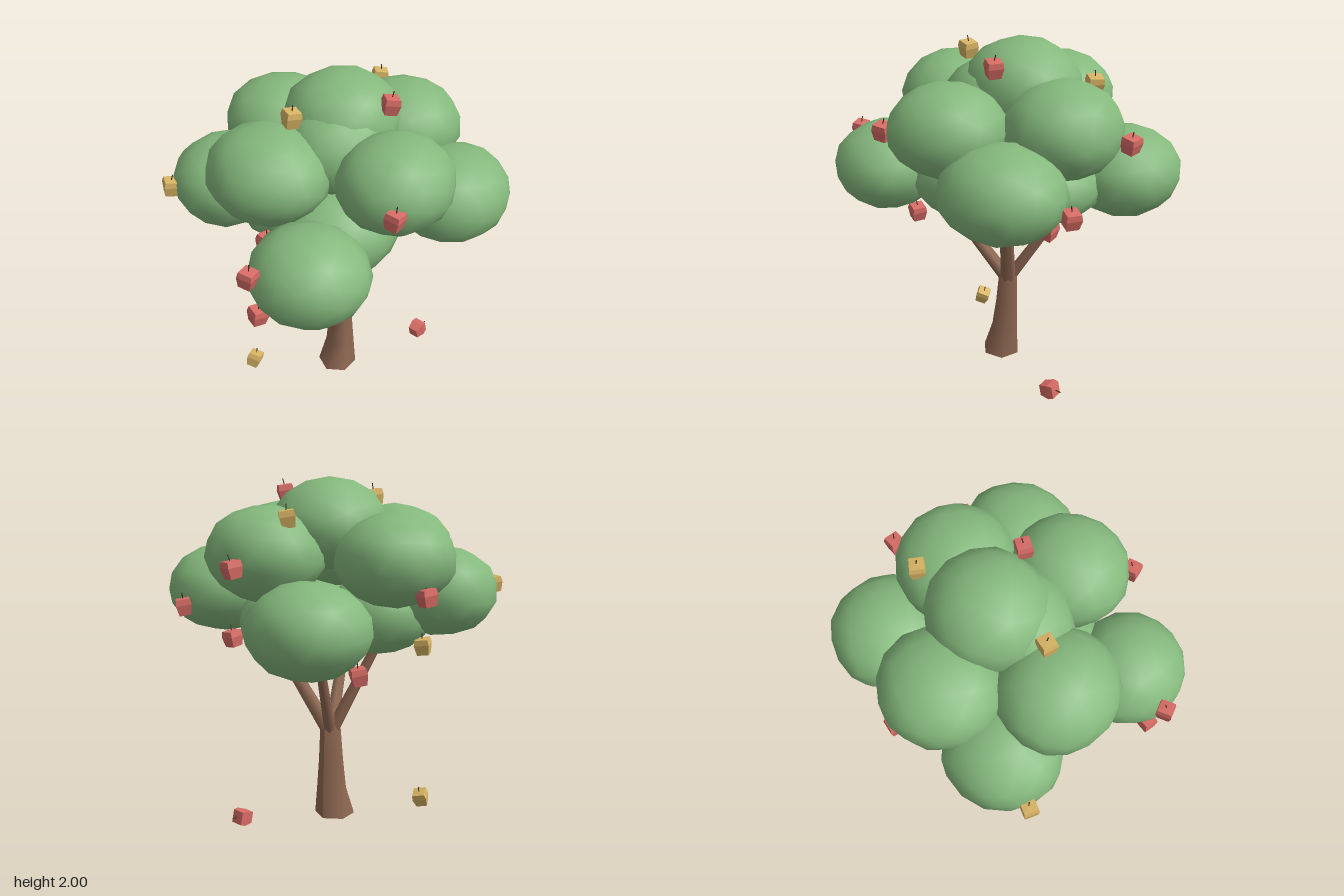
import * as THREE from 'three';
import { mergeVertices } from 'three/addons/utils/BufferGeometryUtils.js';

const mat = (name, color) => new THREE.MeshStandardMaterial({ name, color });

export function createModel() {
  const tree = new THREE.Group();
  tree.name = 'appleTree';
  const bark = mat('bark brown', 0x8f6852);
  const leaf = mat('leaf green', 0x85b97d);
  const red = mat('apple red', 0xd86c66);
  const yellow = mat('apple yellow', 0xd8b464);
  const stemBrown = mat('stem brown', 0x43302a);

  let seed = 7;
  const rand = () => (seed = (seed * 16807) % 2147483647) / 2147483647;
  const add = (parent, name, geo, material) => {
    const mesh = new THREE.Mesh(geo, material);
    mesh.name = name;
    parent.add(mesh);
    return mesh;
  };

  // Trunk: six-sided rings (height, centre x, centre z, radius), flared to one side at the root
  const rings = [[0, -0.008, -0.008, 0.118], [0.17, 0.018, -0.004, 0.087],
    [0.35, 0.029, -0.008, 0.072], [0.54, 0.037, -0.01, 0.061], [0.65, 0.03, -0.005, 0.036]];
  const trunk = new THREE.CylinderGeometry(1, 1, 1, 6, rings.length - 1);
  trunk.rotateY(Math.PI / 2);
  const tp = trunk.attributes.position;
  for (let i = 0; i < tp.count; i++) {
    const k = Math.round((tp.getY(i) + 0.5) * (rings.length - 1));
    const [y, cx, cz, r] = rings[k];
    tp.setXYZ(i, cx + tp.getX(i) * r, y, cz + tp.getZ(i) * r);
  }
  trunk.computeVertexNormals();
  add(tree, 'trunk', trunk, bark);

  // Branches reach from the fork into the four lower leaf clumps
  const up = new THREE.Vector3(0, 1, 0);
  const branch = (x, y, z, r) => {
    const a = new THREE.Vector3(0.035 + x * 0.05, 0.55, -0.01 + z * 0.05);
    const d = new THREE.Vector3(x, y, z).sub(a);
    const m = add(tree, 'branch', new THREE.CylinderGeometry(r * 0.62, r, d.length(), 6), bark);
    m.position.copy(a).addScaledVector(d, 0.5);
    m.quaternion.setFromUnitVectors(up, d.normalize());
  };
  branch(-0.42, 1.2, 0.16, 0.042);
  branch(0.22, 1.2, 0.35, 0.045);
  branch(0.44, 1.2, -0.2, 0.036);
  branch(-0.16, 1.2, -0.29, 0.042);

  // Leaf clumps: centre, then half sizes
  const clumps = [
    [-0.6, 1.25, 0.25, 0.31, 0.25, 0.32], [0.3, 1.375, 0.55, 0.34, 0.25, 0.31],
    [0.62, 1.26, -0.29, 0.32, 0.25, 0.33], [-0.3, 1.37, -0.54, 0.32, 0.25, 0.31],
    [-0.09, 1.6, 0.42, 0.32, 0.25, 0.31], [0.43, 1.6, 0.13, 0.32, 0.26, 0.33],
    [0.11, 1.58, -0.48, 0.33, 0.25, 0.32], [-0.39, 1.59, -0.17, 0.32, 0.25, 0.34],
    [0.1, 1.74, -0.05, 0.33, 0.26, 0.32], [-0.02, 1.64, 0.0, 0.31, 0.26, 0.3],
    [-0.14, 1.23, 0.08, 0.37, 0.26, 0.36], [0.28, 1.24, 0.03, 0.33, 0.22, 0.32],
    [-0.1, 1.25, -0.25, 0.31, 0.24, 0.3],
  ];
  for (const [x, y, z, rx, ry, rz] of clumps) {
    let g = new THREE.IcosahedronGeometry(1, 2);
    g.deleteAttribute('normal');
    g.deleteAttribute('uv');
    g = mergeVertices(g, 1e-3);
    g.rotateX(rand() * 3).rotateY(rand() * 6);
    const p = g.attributes.position;
    for (let i = 0; i < p.count; i++) {
      const s = 0.985 + rand() * 0.04;
      p.setXYZ(i, p.getX(i) * rx * s, p.getY(i) * ry * s, p.getZ(i) * rz * s);
    }
    g.computeVertexNormals();
    add(tree, 'leafClump', g, leaf).position.set(x, y, z);
  }

  // Apples: chunky four-sided turned shapes with a short leaning stem
  const profile = [[0, -0.045], [0.046, -0.045], [0.06, 0.012], [0.053, 0.043], [0, 0.045]]
    .map(([r, y]) => new THREE.Vector2(r, y));
  const appleGeo = new THREE.LatheGeometry(profile, 4).toNonIndexed();
  appleGeo.computeVertexNormals();
  const stemGeo = new THREE.CylinderGeometry(0.003, 0.003, 0.036, 5);
  const apple = (x, y, z, material, tilt = 0.12) => {
    const g = new THREE.Group();
    g.name = 'apple';
    add(g, 'appleBody', appleGeo, material);
    const stem = add(g, 'appleStem', stemGeo, stemBrown);
    stem.position.set(0.004, 0.059, 0);
    stem.rotation.z = -0.2;
    g.position.set(x, y, z);
    g.rotation.set(0.1, rand() * 6, -tilt, 'ZXY');
    tree.add(g);
  };
  const reds = [[0.095, 1.91, 0.26], [-0.37, 1.6, 0.6], [0.785, 1.56, 0.06], [0.67, 1.31, 0.52],
    [-0.9, 1.36, 0.11], [-0.84, 1.07, 0.1], [0.47, 1.12, 0.35], [0.49, 1.07, 0.09],
    [-0.43, 0.97, 0.24], [0.45, 1.02, -0.48], [0.23, 1.42, -0.74], [-0.54, 1.27, -0.08]];
  const yellows = [[-0.27, 1.88, -0.1], [0.51, 1.8, -0.08], [-0.58, 1.39, -0.72], [-0.12, 1.08, -0.53]];
  reds.forEach((p) => apple(...p, red));
  yellows.forEach((p) => apple(...p, yellow));

  // Windfalls on the ground
  apple(0.48, 0.066, 0.3, red, 1.35);
  apple(-0.37, 0.066, -0.4, yellow, 0.4);
  return tree;
}
